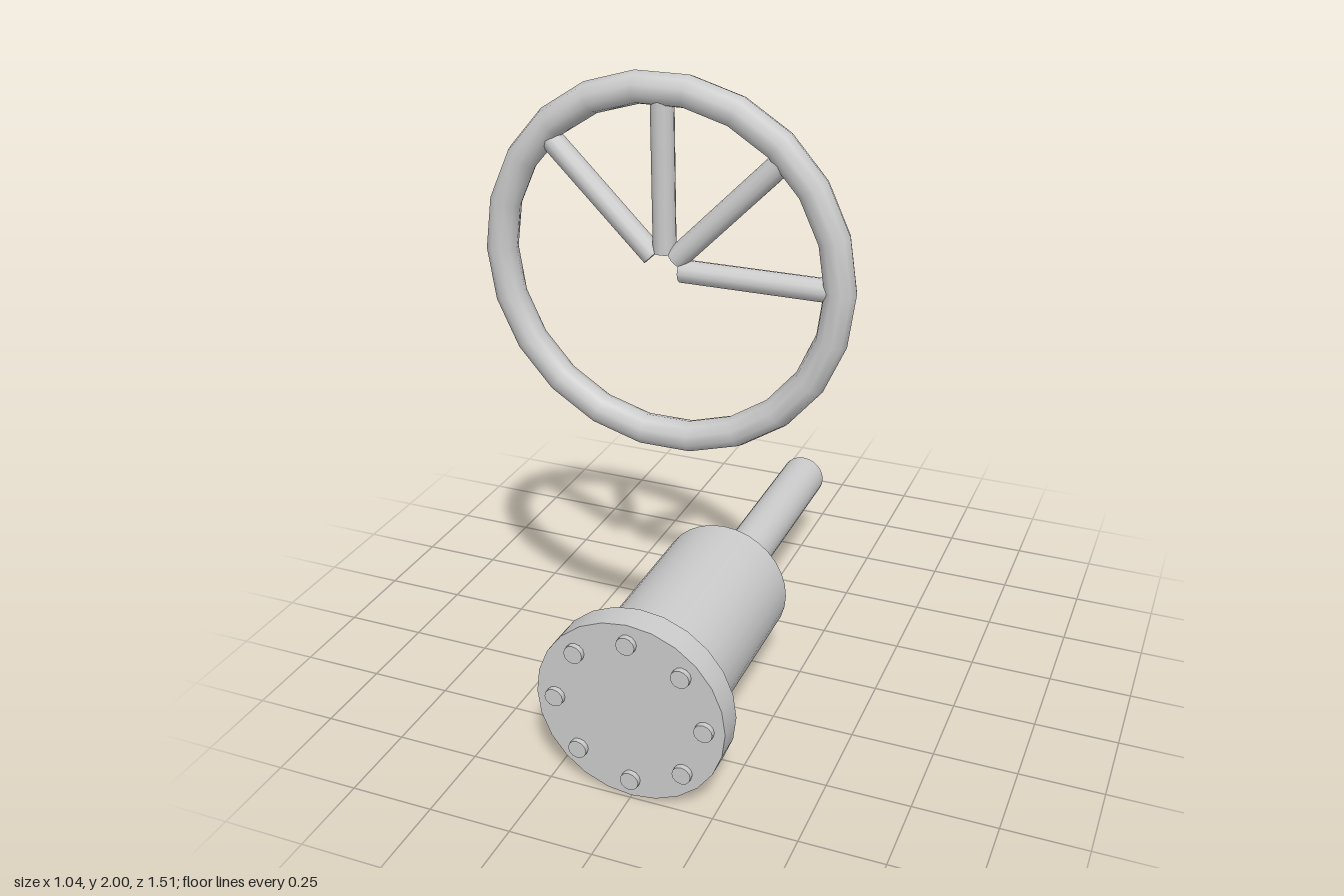
import * as THREE from 'three';

const material = new THREE.MeshStandardMaterial({ color: 0xcccccc });
const AXIS_Y = 0.285; // height of the shaft axis
const WHEEL_Y = 1.484, WHEEL_Z = 0.442;

// Cylinder lying along z between two depths
function rodZ(name, radius, z0, z1, sides, x = 0, y = AXIS_Y) {
  const geometry = new THREE.CylinderGeometry(radius, radius, z1 - z0, sides).rotateX(Math.PI / 2);
  const mesh = new THREE.Mesh(geometry, material);
  mesh.name = name;
  mesh.position.set(x, y, (z0 + z1) / 2);
  return mesh;
}

export function createModel() {
  const group = new THREE.Group();
  group.name = 'valveWithHandwheel';

  // Shaft, body and end flange
  group.add(rodZ('shaft', 0.073, -0.755, 0.03, 24));
  group.add(rodZ('body', 0.206, 0.022, 0.66, 32));
  group.add(rodZ('flange', 0.284, 0.655, 0.74, 24));

  // Ring of bolts passing through the flange
  const bolts = new THREE.Group();
  bolts.name = 'flangeBolts';
  for (let i = 0; i < 8; i++) {
    const a = (i * Math.PI) / 4;
    bolts.add(rodZ('bolt', 0.028, 0.645, 0.756, 12, 0.225 * Math.cos(a), AXIS_Y + 0.225 * Math.sin(a)));
  }
  group.add(bolts);

  // Floating handwheel: rim and four spokes on the upper half
  const wheel = new THREE.Group();
  wheel.name = 'handwheel';
  wheel.position.set(0, WHEEL_Y, WHEEL_Z);
  const rim = new THREE.Mesh(new THREE.TorusGeometry(0.478, 0.043, 10, 22), material);
  rim.name = 'rim';
  wheel.add(rim);
  const inner = 0.046, outer = 0.45;
  for (let i = 0; i < 4; i++) {
    const a = (i * Math.PI) / 4;
    const spoke = new THREE.Mesh(new THREE.CylinderGeometry(0.031, 0.031, outer - inner, 12), material);
    const mid = (inner + outer) / 2;
    spoke.name = 'spoke';
    spoke.position.set(mid * Math.cos(a), mid * Math.sin(a), 0);
    spoke.rotation.z = a - Math.PI / 2;
    wheel.add(spoke);
  }
  group.add(wheel);
  return group;
}
